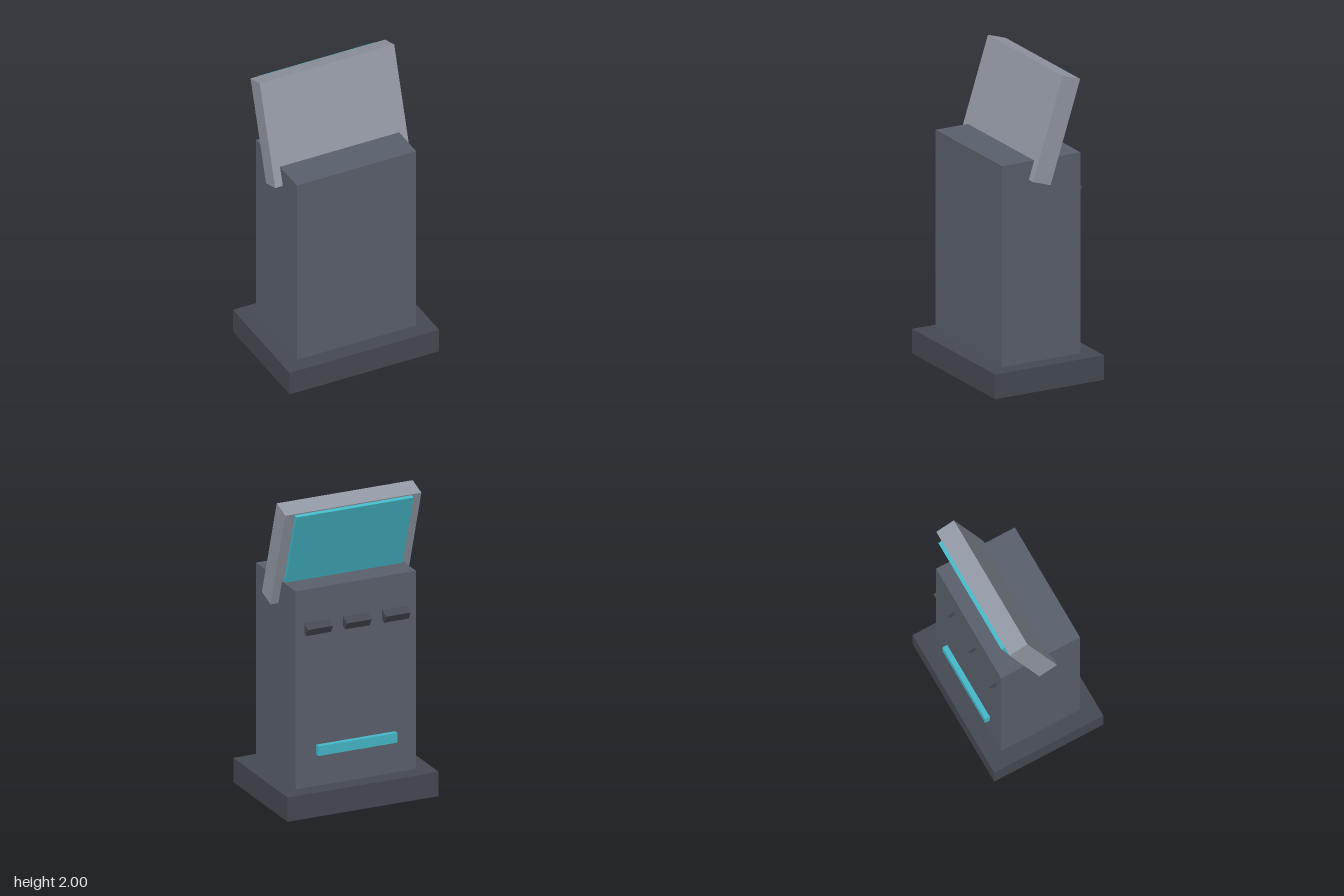
import * as THREE from 'three';

const mat = (color) => new THREE.MeshStandardMaterial({ color });

export function createModel() {
  const model = new THREE.Group();
  const dark = mat(0x454952), grey = mat(0x5a606c), light = mat(0x9298a4), teal = mat(0x45b8c8);

  const addBox = (parent, name, size, pos, material) => {
    const mesh = new THREE.Mesh(new THREE.BoxGeometry(...size), material);
    mesh.name = name;
    mesh.position.set(...pos);
    parent.add(mesh);
    return mesh;
  };

  // Plinth and cabinet
  addBox(model, 'base', [1.034, 0.16, 0.77], [0, 0.08, 0], dark);
  addBox(model, 'body', [0.824, 1.305, 0.556], [0, 0.8125, 0], grey);

  // Display housing leaning back, with a raised screen on its rear face
  const display = new THREE.Group();
  display.name = 'display';
  display.position.set(0, 1.653, -0.08);
  display.rotation.x = -0.31;
  model.add(display);
  addBox(display, 'displayHousing', [0.93, 0.688, 0.131], [0, 0, 0], light);
  addBox(display, 'screen', [0.8, 0.585, 0.04], [0, 0.044, -0.071], teal);

  // Row of tilted buttons on the back
  for (const x of [-0.266, 0, 0.266]) {
    const button = addBox(model, 'button', [0.17, 0.055, 0.1], [x, 1.217, -0.273], dark);
    button.rotation.x = -0.5;
  }

  // Glowing slot low on the back
  addBox(model, 'slot', [0.54, 0.064, 0.06], [0, 0.4, -0.282], teal);

  return model;
}
